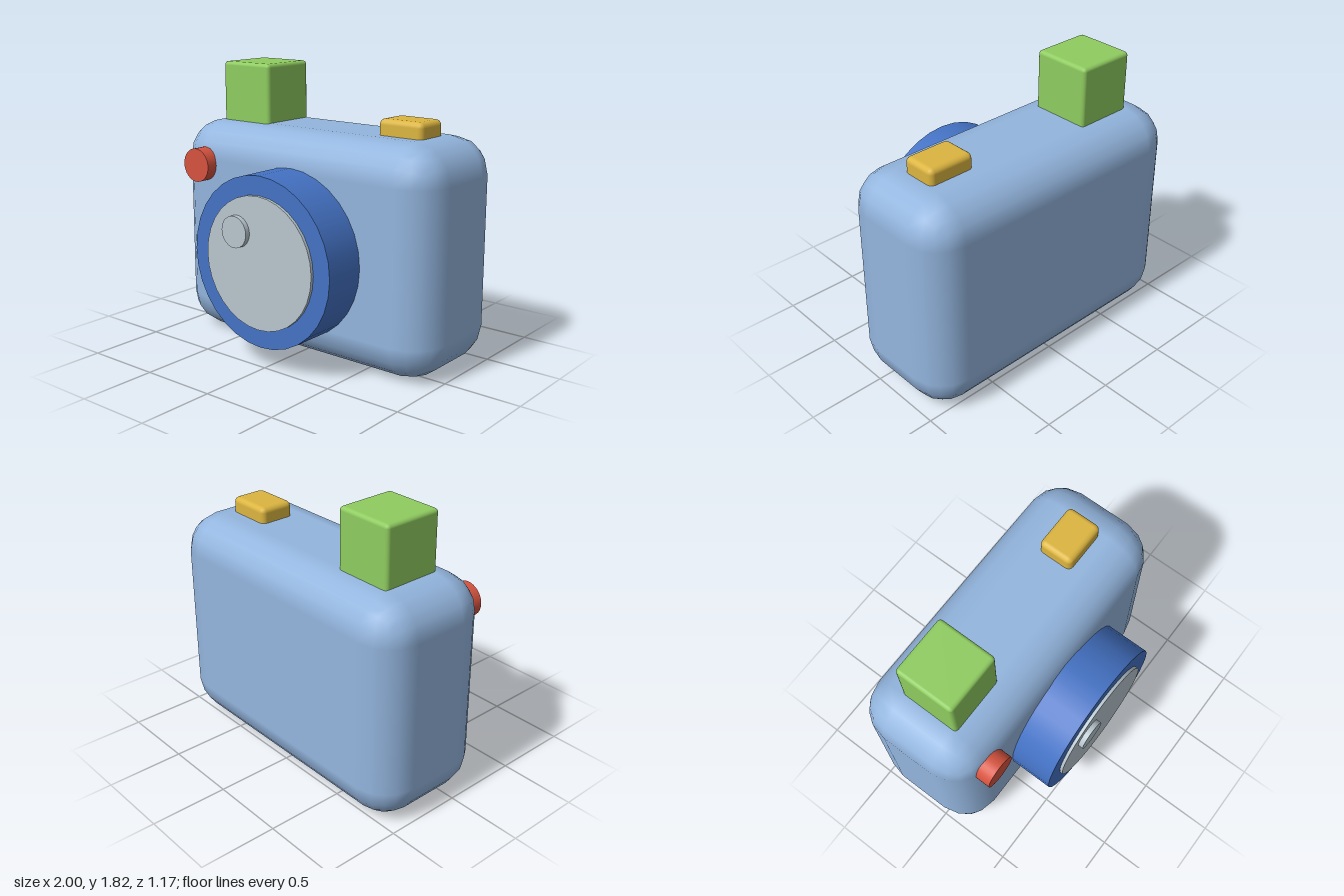
import * as THREE from 'three';
import { RoundedBoxGeometry } from 'three/addons/geometries/RoundedBoxGeometry.js';

const material = (name, color) => {
  const m = new THREE.MeshStandardMaterial({ color });
  m.name = name;
  return m;
};

export function createModel() {
  const group = new THREE.Group();
  group.name = 'toyCamera';

  const paleBlue = material('paleBlue', 0x93b5de);
  const deepBlue = material('deepBlue', 0x4472c4);
  const glassGrey = material('glassGrey', 0xb8c6ce);
  const green = material('green', 0x8fcc60);
  const yellow = material('yellow', 0xdcb540);
  const red = material('red', 0xd6533f);

  const add = (name, geometry, mat, x, y, z) => {
    const mesh = new THREE.Mesh(geometry, mat);
    mesh.name = name;
    mesh.position.set(x, y, z);
    group.add(mesh);
  };

  // Rounded block given by its size and centre
  const block = (name, mat, [w, h, d], [x, y, z], radius, segments) =>
    add(name, new RoundedBoxGeometry(w, h, d, segments, radius), mat, x, y, z);

  // Disc facing the front, running from z0 to z1
  const disc = (name, mat, radius, x, y, z0, z1) => {
    const geometry = new THREE.CylinderGeometry(radius, radius, z1 - z0, 32);
    geometry.rotateX(Math.PI / 2);
    add(name, geometry, mat, x, y, (z0 + z1) / 2);
  };

  // Body
  block('body', paleBlue, [2, 1.44, 0.835], [0, 0.72, -0.168], 0.24, 2);

  // Parts on top
  block('viewfinder', green, [0.395, 0.42, 0.395], [-0.562, 1.61, -0.167], 0.025, 2);
  block('shutterButton', yellow, [0.315, 0.16, 0.235], [0.598, 1.46, -0.168], 0.035, 2);

  // Lens and its highlight
  disc('lensBarrel', deepBlue, 0.54, 0, 0.685, 0.12, 0.535);
  disc('lensGlass', glassGrey, 0.42, 0, 0.685, 0.5, 0.555);
  disc('lensHighlight', glassGrey, 0.1, -0.16, 0.865, 0.54, 0.588);

  // Front lamp
  disc('frontLamp', red, 0.11, -0.742, 1.165, 0.18, 0.325);

  return group;
}
